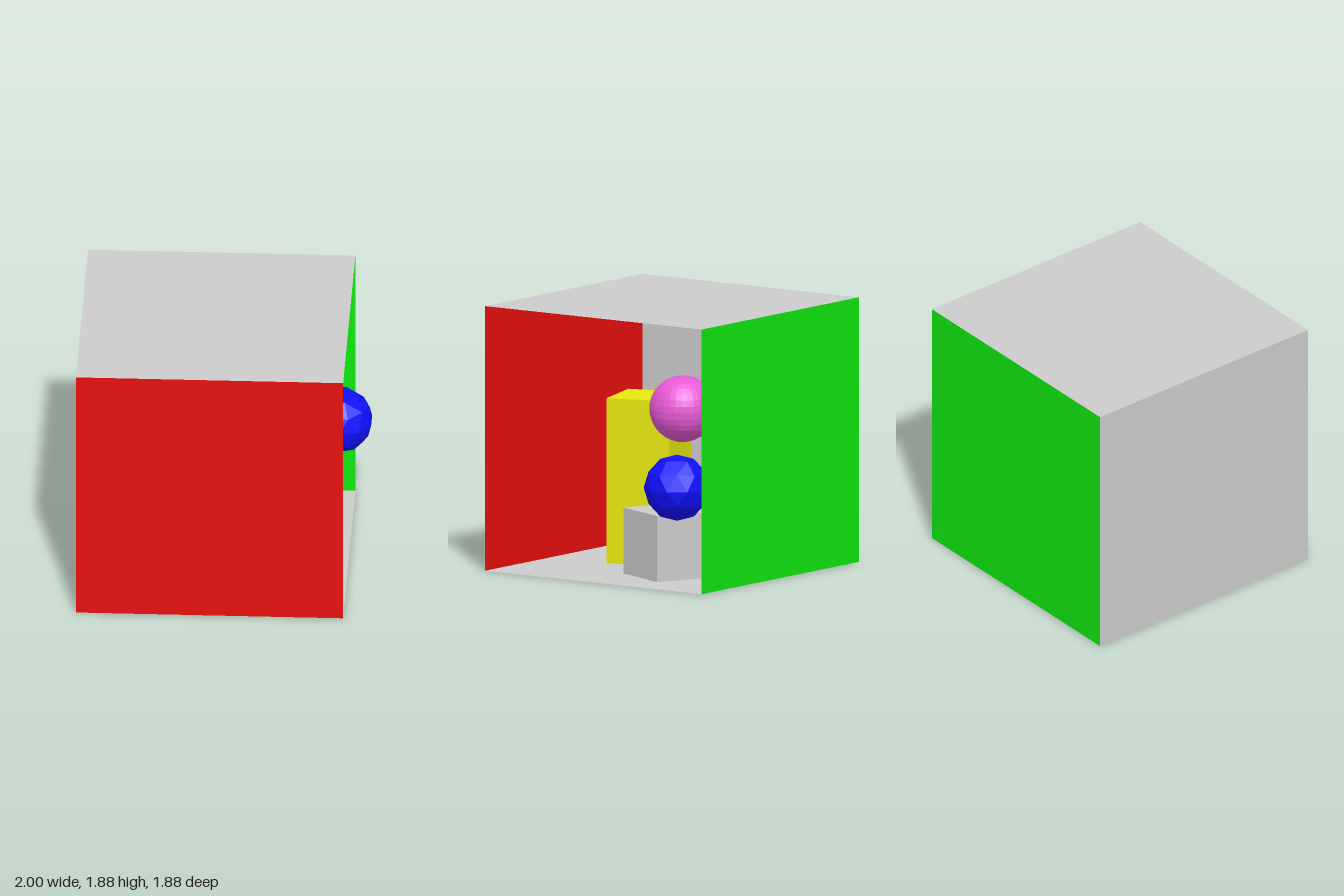
import * as THREE from 'three';

const SIZE = 1.875, HALF = SIZE / 2; // room cube
const CX = -0.065;                   // room centre in x
const R = 0.234;                     // ball radius, half the block width

const mat = (color, side = THREE.FrontSide) =>
  new THREE.MeshStandardMaterial({ color, side, flatShading: true });

function add(parent, name, geometry, material, x, y, z) {
  const mesh = new THREE.Mesh(geometry, material);
  mesh.name = name;
  mesh.position.set(x, y, z);
  parent.add(mesh);
  return mesh;
}

export function createModel() {
  const model = new THREE.Group();
  model.name = 'roomWithSolids';

  const grey = 0xcccccc, red = 0xe70f0f, green = 0x0fe70f;
  const yellow = 0xe7e70f, blue = 0x0f0fff, pink = 0xe75ad6;

  // Room of thin sheets, open on the +x side
  const room = new THREE.Group();
  room.name = 'room';
  model.add(room);
  const sheets = [
    ['floor', grey, [0, -HALF, 0], [-Math.PI / 2, 0]],
    ['ceiling', grey, [0, HALF, 0], [Math.PI / 2, 0]],
    ['frontWall', red, [0, 0, HALF], [0, 0]],
    ['backWall', green, [0, 0, -HALF], [0, 0]],
    ['sideWall', grey, [-HALF, 0, 0], [0, Math.PI / 2]],
  ];
  for (const [name, color, [x, y, z], [rx, ry]] of sheets) {
    const sheet = add(room, name, new THREE.PlaneGeometry(SIZE, SIZE),
      mat(color, THREE.DoubleSide), CX + x, HALF + y, z);
    sheet.rotation.set(rx, ry, 0);
  }

  // Blocks standing on the floor, each turned a little
  const block = (name, color, height, x, z, degrees) => {
    const mesh = add(model, name, new THREE.BoxGeometry(2 * R, height, 2 * R),
      mat(color), x, height / 2, z);
    mesh.rotation.y = THREE.MathUtils.degToRad(degrees);
  };
  block('tallBlock', yellow, 5 * R, -0.203, 0.30, 17);
  block('shortBlock', grey, 2 * R, 0.29, -0.233, -23.6);

  // Floating balls: one ringed, one faceted with a corner at the top
  add(model, 'ringedBall', new THREE.SphereGeometry(R, 32, 16), mat(pink), 0.20, 1.175, -0.285);
  const faceted = new THREE.IcosahedronGeometry(R, 1);
  faceted.rotateZ(-Math.atan(2 / (1 + Math.sqrt(5))));
  add(model, 'facetedBall', faceted, mat(blue), 0.777, 0.718, -0.655);

  return model;
}
